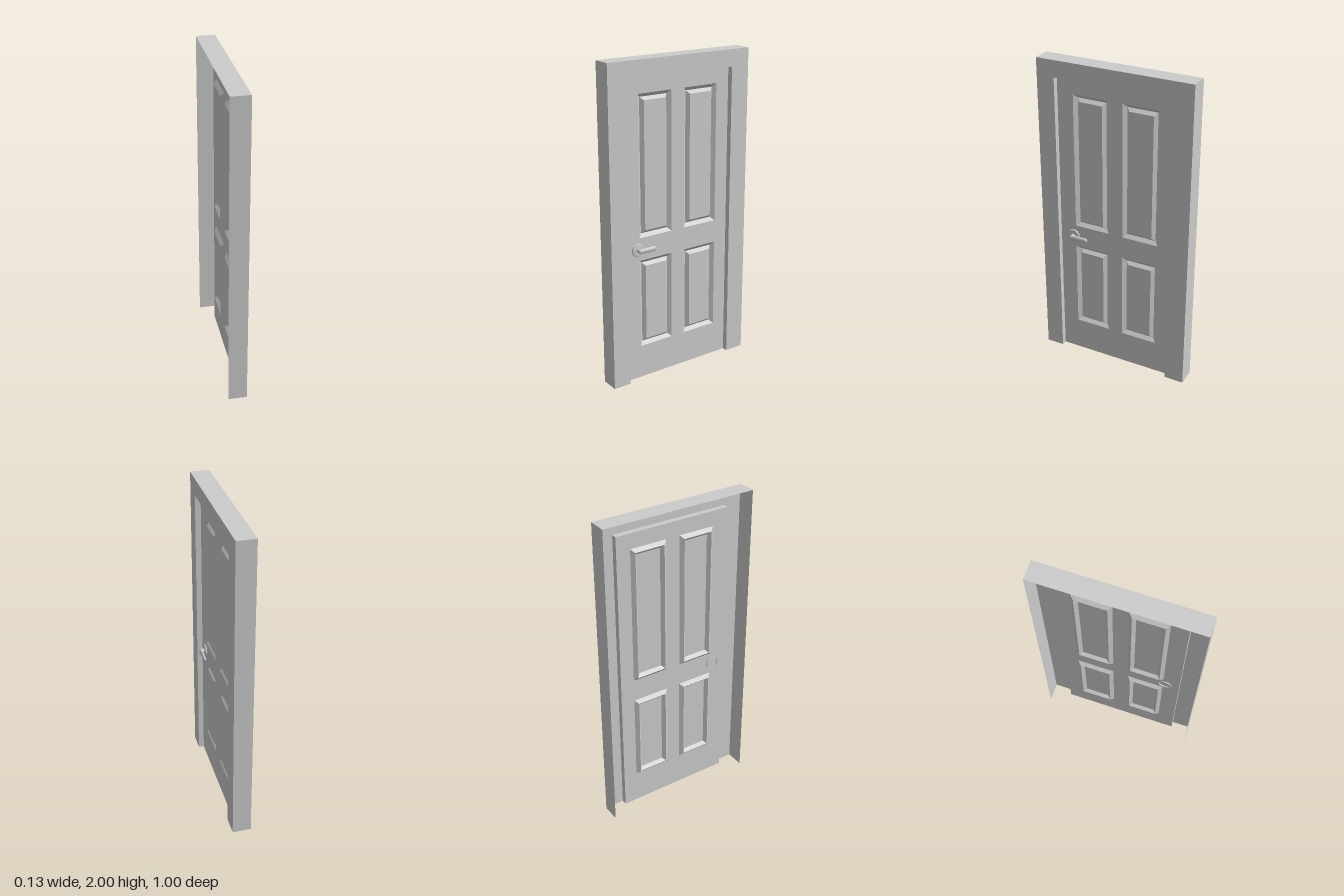
import * as THREE from 'three';

const material = new THREE.MeshStandardMaterial({ color: 0xcccccc, side: THREE.DoubleSide });

// Depths across the wall
const FRAME_FRONT = 0.055, FRAME_BACK = -0.063, LEAF = 0.02, GROOVE = 0.0;

function addMesh(parent, name, geometry) {
  const mesh = new THREE.Mesh(geometry, material);
  mesh.name = name;
  parent.add(mesh);
  return mesh;
}

// Flat-faced skin between successive loops; each loop is { points: [[u, v]...], depth }
function loft(loops, closed) {
  const positions = [];
  for (let k = 0; k < loops.length - 1; k++) {
    const a = loops[k], b = loops[k + 1], n = a.points.length;
    for (let i = 0; i < (closed ? n : n - 1); i++) {
      const j = (i + 1) % n;
      const a0 = [...a.points[i], a.depth], a1 = [...a.points[j], a.depth];
      const b0 = [...b.points[i], b.depth], b1 = [...b.points[j], b.depth];
      positions.push(...a0, ...a1, ...b1, ...a0, ...b1, ...b0);
    }
  }
  const geometry = new THREE.BufferGeometry();
  geometry.setAttribute('position', new THREE.Float32BufferAttribute(positions, 3));
  geometry.computeVertexNormals();
  return geometry;
}

// Corners of a rectangle, counterclockwise, shrunk by an inset
const rect = ([u0, u1, v0, v1], inset = 0) => [
  [u0 + inset, v0 + inset], [u1 - inset, v0 + inset],
  [u1 - inset, v1 - inset], [u0 + inset, v1 - inset],
];
const toShape = (points) => new THREE.Shape(points.map(([u, v]) => new THREE.Vector2(u, v)));

export function createModel() {
  const model = new THREE.Group();
  model.name = 'door';

  // Drawn facing +z, then turned so that the door faces +x
  const body = new THREE.Group();
  body.name = 'doorBody';
  body.rotation.y = Math.PI / 2;
  model.add(body);

  // Frame: face, outer walls and reveals, open at the back and bottom
  const outer = [[-0.5, 0], [-0.5, 2], [0.5, 2], [0.5, 0]];
  const inner = [[0.375, 0], [0.375, 1.895], [-0.385, 1.895], [-0.385, 0]];
  const frame = new THREE.Group();
  frame.name = 'frame';
  body.add(frame);
  addMesh(frame, 'frameFace', new THREE.ShapeGeometry(toShape([...outer, ...inner])))
    .position.z = FRAME_FRONT;
  addMesh(frame, 'frameOuterWalls', loft([
    { points: outer, depth: FRAME_FRONT }, { points: outer, depth: FRAME_BACK },
  ], false));
  addMesh(frame, 'frameReveals', loft([
    { points: inner, depth: FRAME_FRONT }, { points: inner, depth: LEAF },
  ], false));

  // Leaf: thin sheet with four openings for the panels
  const panels = [];
  for (const [u0, u1] of [[-0.28, -0.047], [0.047, 0.285]]) {
    for (const [v0, v1] of [[0.215, 0.785], [0.93, 1.8]]) panels.push([u0, u1, v0, v1]);
  }
  const leafShape = toShape(rect([-0.385, 0.375, 0, 1.895]));
  panels.forEach((p) => leafShape.holes.push(toShape(rect(p))));
  addMesh(body, 'leaf', new THREE.ShapeGeometry(leafShape)).position.z = LEAF;

  // Panels: V-shaped groove around a raised field
  panels.forEach((p) => {
    addMesh(body, 'panelMoulding', loft([
      { points: rect(p), depth: LEAF },
      { points: rect(p, 0.022), depth: GROOVE },
      { points: rect(p, 0.041), depth: LEAF },
    ], true));
    addMesh(body, 'panelField', new THREE.ShapeGeometry(toShape(rect(p, 0.041))))
      .position.z = LEAF;
  });

  // Handle: round rose, neck and lever
  const handle = new THREE.Group();
  handle.name = 'handle';
  handle.position.set(-0.296, 0.858, LEAF);
  body.add(handle);

  const roseProfile = [[0.041, -0.006], [0.041, 0.006], [0.036, 0.01], [0, 0.01]]
    .map(([r, h]) => new THREE.Vector2(r, h));
  const rose = new THREE.LatheGeometry(roseProfile, 32);
  rose.rotateX(Math.PI / 2);
  addMesh(handle, 'rose', rose);

  const neck = new THREE.CylinderGeometry(0.013, 0.013, 0.03, 20);
  neck.rotateX(Math.PI / 2);
  addMesh(handle, 'neck', neck).position.z = 0.02;

  const lever = new THREE.CapsuleGeometry(0.0155, 0.096, 6, 16);
  lever.rotateZ(Math.PI / 2);
  lever.scale(1, 1, 0.65);
  addMesh(handle, 'lever', lever).position.set(0.05, 0, 0.033);

  return model;
}
